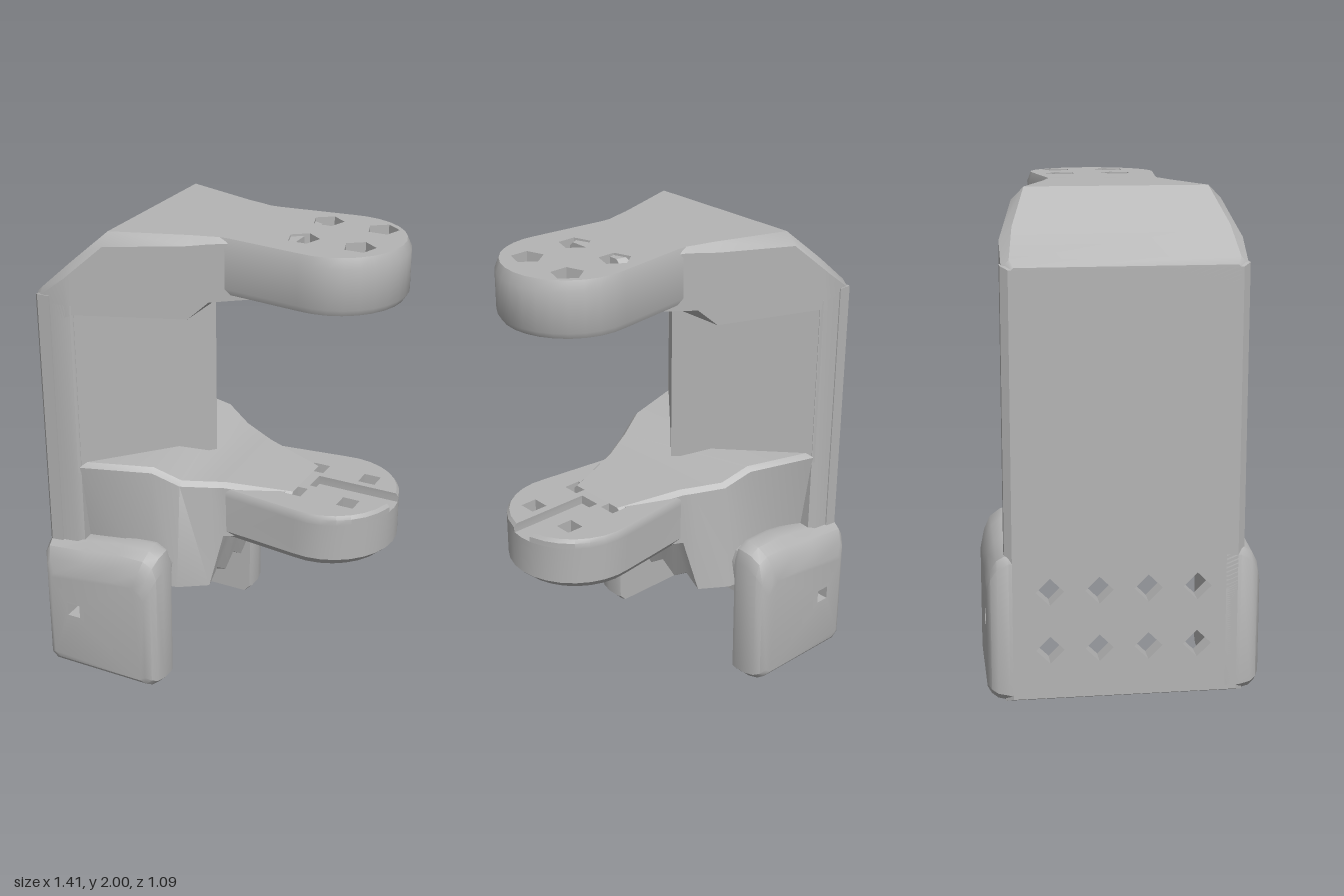
import * as THREE from 'three';
import { toCreasedNormals } from 'three/addons/utils/BufferGeometryUtils.js';

const metal = new THREE.MeshStandardMaterial({ color: 0xb4b4b4 });
metal.name = 'plain grey';

// Local (u, v, h) to world, one right-handed mapping per loft direction
const alongX = (u, v, h) => [h, v, -u];
const alongY = (u, v, h) => [u, h, -v];
const alongZ = (u, v, h) => [u, v, h];

// Solid through counter-clockwise rings [h, points], with straight holes
function loft(name, axis, rings, holes = []) {
  const pos = [];
  const put = (...list) => list.forEach(([p, h]) => pos.push(...axis(p[0], p[1], h)));
  const wall = (a, ha, b, hb) => a.forEach((p, i) => {
    const j = (i + 1) % a.length;
    put([p, ha], [a[j], ha], [b[j], hb], [p, ha], [b[j], hb], [b[i], hb]);
  });
  for (let i = 0; i + 1 < rings.length; i++) {
    wall(rings[i][1], rings[i][0], rings[i + 1][1], rings[i + 1][0]);
  }
  const first = rings[0], last = rings[rings.length - 1];
  const cuts = holes.map((hole) => [...hole].reverse());
  cuts.forEach((c) => wall(c, first[0], c, last[0]));
  for (const [h, pts] of [first, last]) {
    const vec = (loop) => loop.map((p) => new THREE.Vector2(p[0], p[1]));
    const all = [...pts, ...cuts.flat()];
    for (const [a, b, c] of THREE.ShapeUtils.triangulateShape(vec(pts), cuts.map(vec))) {
      if (h === last[0]) put([all[a], h], [all[b], h], [all[c], h]);
      else put([all[a], h], [all[c], h], [all[b], h]);
    }
  }
  const g = new THREE.BufferGeometry();
  g.setAttribute('position', new THREE.Float32BufferAttribute(pos, 3));
  const mesh = new THREE.Mesh(toCreasedNormals(g, 0.6), metal);
  mesh.name = name;
  return mesh;
}

const scaled = (pts, cx, cy, sx, sy = sx) =>
  pts.map(([x, y]) => [cx + (x - cx) * sx, cy + (y - cy) * sy]);

const polygon = (cx, cy, r, n, start) => Array.from({ length: n }, (_, i) => {
  const a = start + (i / n) * Math.PI * 2;
  return [cx + r * Math.cos(a), cy + r * Math.sin(a)];
});

const rect = (x0, y0, x1, y1) => [[x0, y0], [x1, y0], [x1, y1], [x0, y1]];

// Arm cross-section with chamfered top
const armSection = (w, b, t, c) =>
  [[-w, b], [w, b], [w, t - c], [w - c, t], [c - w, t], [-w, t - c]];

// Cross-section with four grooves along the underside
function groovedSection(w, wb, b, t, depth) {
  const pts = [];
  for (let i = 0; i <= 8; i++) pts.push([-wb + (wb * i) / 4, b + (i % 2) * depth]);
  pts.push([w, t - 0.02], [w - 0.02, t], [0.02 - w, t], [-w, t - 0.02]);
  return pts;
}

// Rounded pad outline, optionally with a slot open at the tip
function padOutline(slot = 0) {
  const pts = [[0, -0.24], [0.04, -0.24]];
  const steps = 16, limit = 1.75, cx = 0.42, r = 0.283;
  for (let i = 0; i <= steps; i++) {
    const a = -limit + (2 * limit * i) / steps;
    if (slot && i === steps / 2) {
      pts.push([0.7, -slot], [0.34, -slot], [0.34, slot], [0.7, slot]);
    } else {
      pts.push([cx + r * Math.cos(a), r * Math.sin(a)]);
    }
  }
  pts.push([0.04, 0.24], [0, 0.24]);
  return pts;
}

export function createModel() {
  const model = new THREE.Group();
  const add = (...args) => model.add(loft(...args));

  // Back plate with two rows of diamond holes
  const diamonds = [];
  for (const z of [0.285, 0.09, -0.105, -0.3]) {
    for (const y of [0.215, 0.455]) diamonds.push(polygon(-z, y, 0.056, 4, 0));
  }
  const back = rect(-0.475, 0, 0.475, 1.73);
  add('backPlate', alongX, [
    [-0.71, scaled(back, 0, 0.86, 0.94, 0.985)], [-0.685, back], [-0.63, back],
  ], diamonds);

  // Spine and the wedge in front of it
  const spine = rect(-0.47, 0.55, 0.47, 1.7);
  add('spine', alongX, [[-0.65, spine], [-0.56, spine], [-0.53, scaled(spine, 0, 1.1, 0.97, 1)]]);
  const wedge = [[-0.54, -0.465], [-0.125, 0], [-0.54, 0.465]];
  add('wedge', alongY, [[0.95, wedge], [1.7, wedge]]);

  // Upper arm: x, half width, bottom, top, chamfer
  const upper = [
    [-0.71, 0.445, 1.6, 1.725, 0.02],
    [-0.68, 0.47, 1.6, 1.752, 0.03],
    [-0.56, 0.47, 1.65, 1.862, 0.05],
    [-0.53, 0.458, 1.66, 1.89, 0.05],
    [-0.41, 0.412, 1.66, 2, 0.05],
    [-0.1, 0.293, 1.66, 2, 0.035],
    [-0.02, 0.263, 1.735, 2, 0.025],
    [0.04, 0.24, 1.743, 2, 0.02],
    [0.29, 0.15, 1.775, 1.99, 0.02],
  ];
  add('upperArm', alongX, upper.map(([x, ...s]) => [x, armSection(...s)]));

  // Lower arm root: x, half width, bottom half width, bottom, top, groove depth
  const lower = [
    [-0.65, 0.46, 0.385, 0.45, 0.995, 0.06],
    [-0.53, 0.46, 0.385, 0.45, 0.995, 0.06],
    [-0.24, 0.37, 0.385, 0.45, 0.995, 0.06],
    [-0.13, 0.33, 0.37, 0.45, 0.94, 0.06],
    [-0.01, 0.265, 0.3, 0.455, 0.932, 0.05],
    [0.03, 0.243, 0.245, 0.68, 0.93, 0.01],
    [0.3, 0.15, 0.15, 0.7, 0.905, 0.005],
  ];
  add('lowerArm', alongX, lower.map(([x, ...s]) => [x, groovedSection(...s)]));

  // Upper pad with pentagon holes
  const pad = padOutline();
  const inset = (s) => scaled(pad, 0.33, 0, s);
  const pentagons = [], squares = [];
  for (const x of [0.308, 0.543]) {
    for (const z of [-0.145, 0.095]) pentagons.push(polygon(x, -z, 0.066, 5, Math.PI / 2));
    for (const z of [-0.115, 0.118]) squares.push(polygon(x, -z, 0.052, 4, Math.PI / 4));
  }
  add('upperPad', alongY, [
    [1.77, inset(0.96)], [1.795, inset(1)], [1.96, inset(1)], [2, inset(0.95)],
  ], pentagons);

  // Lower pad in two layers, the top one slotted
  add('lowerPad', alongY, [[0.67, inset(0.9)], [0.705, inset(1)], [0.866, inset(1)]], squares);
  const slotted = padOutline(0.05);
  add('lowerPadTop', alongY, [
    [0.866, slotted], [0.89, slotted], [0.905, scaled(slotted, 0.33, 0, 0.97)],
  ], squares);

  // Cheeks either side of the open cavity
  const cheek = [
    [-0.68, 0], [-0.18, 0], [-0.15, 0.03], [-0.145, 0.58], [-0.165, 0.635],
    [-0.21, 0.66], [-0.34, 0.66], [-0.5, 0.635], [-0.69, 0.615], [-0.71, 0.58], [-0.71, 0.03],
  ];
  const shoulder = [
    [-0.6, 0.45], [-0.16, 0.45], [-0.148, 0.57], [-0.17, 0.62], [-0.22, 0.65], [-0.6, 0.62],
  ];
  const ring = (s, t) => scaled(cheek, -0.43, 0.15, s, t);
  const port = [[rect(-0.58, 0.28, -0.52, 0.34)]][0];
  for (const side of [1, -1]) {
    // Mirrored rings run from the low z to the high z
    const place = (rings) => {
      const r = rings.map(([h, p]) => [h * side, p]);
      return side > 0 ? r : r.reverse();
    };
    add(side > 0 ? 'frontCheek' : 'rearCheek', alongZ, place([
      [0.38, ring(0.98, 0.99)], [0.4, ring(1, 1)], [0.46, ring(1, 0.99)],
      [0.505, ring(0.97, 0.93)], [0.53, ring(0.91, 0.83)], [0.545, ring(0.82, 0.7)],
    ]), port);
    add(side > 0 ? 'frontShoulder' : 'rearShoulder', alongZ, place([
      [0.31, scaled(shoulder, -0.4, 0.55, 0.94, 0.5)],
      [0.335, scaled(shoulder, -0.4, 0.55, 0.98, 0.85)],
      [0.41, shoulder],
    ]));
  }
  return model;
}
